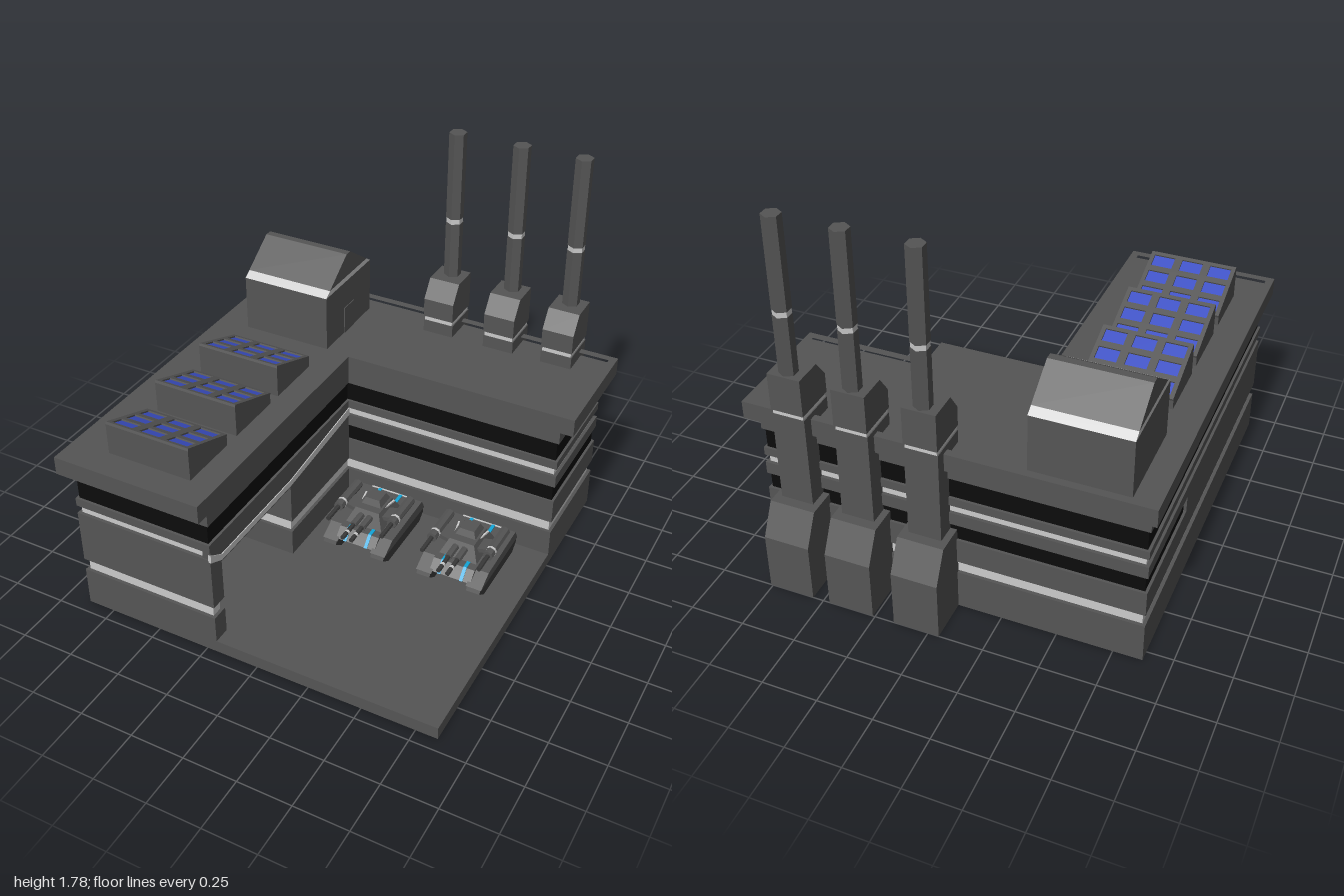
import * as THREE from 'three';

const mat = (color) => new THREE.MeshStandardMaterial({ color, flatShading: true });
const DARK = mat(0x555555), LIGHT = mat(0xbcbcbc), BLACK = mat(0x0c0c0c);
const TRACK = mat(0x3a3a3a), BLUE = mat(0x3b4fc4), CYAN = mat(0x12a5d8);

function add(parent, name, geometry, material = DARK, x = 0, y = 0, z = 0) {
  const m = new THREE.Mesh(geometry, material);
  m.name = name;
  m.position.set(x, y, z);
  parent.add(m);
  return m;
}

// box given by its limits
function block(parent, name, [x0, x1], [y0, y1], [z0, z1], material) {
  return add(parent, name, new THREE.BoxGeometry(x1 - x0, y1 - y0, z1 - z0), material,
    (x0 + x1) / 2, (y0 + y1) / 2, (z0 + z1) / 2);
}

const toShape = (pts) => new THREE.Shape(pts.map(([a, b]) => new THREE.Vector2(a, b)));

// side profile of [z, y] points, extruded from x0 to x1
function prism(parent, name, pts, x0, x1, material) {
  const g = new THREE.ExtrudeGeometry(toShape(pts), { depth: x1 - x0, bevelEnabled: false });
  g.rotateY(-Math.PI / 2).translate(x1, 0, 0);
  return add(parent, name, g, material);
}

// plan of [x, z] points, extruded from y0 to y1
function slab(parent, name, pts, y0, y1, material, hole) {
  const flip = (p) => p.map(([x, z]) => [x, -z]);
  const s = toShape(flip(pts));
  if (hole) s.holes.push(toShape(flip(hole)));
  const g = new THREE.ExtrudeGeometry(s, { depth: y1 - y0, bevelEnabled: false });
  g.rotateX(-Math.PI / 2).translate(0, y0, 0);
  return add(parent, name, g, material);
}

// L-shaped plan, shrunk by d, optionally with the garage bay cut into the wing
function ell(d, bay = false, [l, r, b, f] = [-0.88, 0.85, -0.8, 0.94]) {
  const ix = -0.2 - d, iz = -0.26 - d;
  const cut = bay ? [[ix, 0.29 - d], [-0.6 - d, 0.29 - d], [-0.6 - d, 0.86 + d], [ix, 0.86 + d]] : [];
  return [[l + d, b + d], [r - d, b + d], [r - d, iz], [ix, iz], ...cut, [ix, f - d], [l + d, f - d]];
}

function building() {
  const g = new THREE.Group();
  g.name = 'building';
  block(g, 'yardFloor', [-0.88, 0.85], [0, 0.06], [-0.8, 0.94], DARK);
  // stacked storeys: y0, y1, inset, material, bay
  const layers = [
    ['lowerWall', 0.06, 0.19, 0, DARK, true],
    ['lowerStripe', 0.19, 0.25, 0.015, LIGHT, true],
    ['middleWall', 0.25, 0.37, 0, DARK, true],
    ['bayWall', 0.37, 0.45, 0.02, DARK, true],
    ['lintelWall', 0.45, 0.51, 0, DARK, false],
    ['upperStripe', 0.51, 0.55, 0.015, LIGHT, false],
    ['upperWall', 0.55, 0.59, 0, DARK, false],
    ['upperWindows', 0.59, 0.69, 0.012, BLACK, false],
    ['topWall', 0.69, 0.75, 0, DARK, false],
  ];
  for (const [name, y0, y1, d, m, bay] of layers) slab(g, name, ell(d, bay), y0, y1, m);
  // lower windows run round the back block, the wing stays solid
  block(g, 'lowerWindows', [-0.868, 0.838], [0.37, 0.47], [-0.788, -0.268], BLACK);
  slab(g, 'wingWall', [[-0.88, -0.26], [-0.2, -0.26], [-0.2, 0.29], [-0.6, 0.29], [-0.6, 0.86],
    [-0.2, 0.86], [-0.2, 0.94], [-0.88, 0.94]], 0.37, 0.45, DARK);
  // wing facing the yard, with its stepped stripe
  block(g, 'yardWall', [-0.24, -0.2], [0.51, 0.55], [-0.26, 0.935], DARK);
  prism(g, 'steppedStripe', [[0.94, 0.54], [0.86, 0.49], [0.29, 0.49], [-0.26, 0.55],
    [-0.26, 0.51], [0.29, 0.46], [0.86, 0.46], [0.94, 0.5]], -0.21, -0.196, LIGHT);
  // overhanging roof with parapet
  const rim = [-0.91, 0.91, -0.83, 1];
  slab(g, 'roof', ell(0, false, rim), 0.75, 0.8, DARK);
  slab(g, 'parapet', ell(0, false, rim), 0.8, 0.835, DARK, ell(0.035, false, rim));
  return g;
}

// wedge with a 3 x 3 grid of recessed solar cells on its slope
function solarWedge(z) {
  const g = new THREE.Group();
  g.name = 'solarWedge';
  const len = 0.28, rise = 0.105, t = 0.012, w = 0.41;
  prism(g, 'wedge', [[0, 0.79], [len, 0.79], [len, 0.96 - t], [0, 0.96 - rise - t]], -w / 2, w / 2, DARK);
  const slope = new THREE.Group();
  slope.name = 'solarPanel';
  const L = Math.hypot(len, rise);
  const frame = toShape([[-w / 2, -L / 2], [w / 2, -L / 2], [w / 2, L / 2], [-w / 2, L / 2]]);
  for (let i = -1; i <= 1; i++) {
    for (let j = -1; j <= 1; j++) {
      const cx = i * 0.136, cy = j * 0.097, a = 0.05, b = 0.033;
      frame.holes.push(toShape([[cx - a, cy - b], [cx - a, cy + b], [cx + a, cy + b], [cx + a, cy - b]]));
      add(slope, 'solarCell', new THREE.BoxGeometry(0.1, 0.004, 0.066), BLUE, cx, 0.003, -cy);
    }
  }
  const fg = new THREE.ExtrudeGeometry(frame, { depth: t, bevelEnabled: false }).rotateX(-Math.PI / 2);
  add(slope, 'solarFrame', fg);
  slope.position.set(0, 0.96 - rise / 2 - t, len / 2);
  slope.rotation.x = -Math.atan2(rise, len);
  g.add(slope);
  g.position.set(-0.553, 0, z);
  return g;
}

function roofHouse() {
  const g = new THREE.Group();
  g.name = 'roofHouse';
  const f = -0.322, b = -0.757, x0 = -0.785, x1 = -0.348;
  prism(g, 'houseWalls', [[b, 0.79], [f, 0.79], [f, 1.07], [b, 1.07]], x0, x1, DARK);
  prism(g, 'eavesStripe', [[b, 1.07], [f, 1.07], [f - 0.036, 1.095], [b + 0.036, 1.095]], x0, x1, LIGHT);
  prism(g, 'gableRoof', [[b + 0.036, 1.095], [f - 0.036, 1.095], [-0.522, 1.21], [-0.557, 1.21]], x0, x1, DARK);
  block(g, 'door', [x1 - 0.01, x1 + 0.004], [0.79, 0.935], [-0.587, -0.493], DARK);
  return g;
}

function chimney(x) {
  const g = new THREE.Group();
  g.name = 'chimney';
  prism(g, 'buttress', [[-0.79, 0], [-1, 0], [-1, 0.275], [-0.925, 0.42], [-0.79, 0.42]], -0.105, 0.105, DARK);
  block(g, 'shaft', [-0.075, 0.075], [0.4, 0.86], [-0.88, -0.79], DARK);
  block(g, 'shaftFoot', [-0.075, 0.075], [0.79, 0.86], [-0.8, -0.692], DARK);
  block(g, 'collarStripe', [-0.07, 0.07], [0.86, 0.882], [-0.878, -0.695], LIGHT);
  prism(g, 'stackBase', [[-0.885, 0.882], [-0.69, 0.882], [-0.69, 0.975], [-0.75, 1.06], [-0.885, 1.06]],
    -0.075, 0.075, DARK);
  const hex = (name, y0, y1, r, m) =>
    add(g, name, new THREE.CylinderGeometry(r, r, y1 - y0, 6), m, 0, (y0 + y1) / 2, -0.838);
  hex('lowerStack', 1.05, 1.335, 0.041, DARK);
  hex('stackStripe', 1.335, 1.36, 0.039, LIGHT);
  hex('upperStack', 1.36, 1.78, 0.041, DARK);
  g.position.x = x;
  return g;
}

function tank(x) {
  const g = new THREE.Group();
  g.name = 'tank';
  // hull between two tracks
  prism(g, 'hull', [[-0.21, 0.085], [0.1, 0.085], [0.165, 0.125], [0.12, 0.168], [-0.2, 0.178], [-0.238, 0.15]],
    -0.1, 0.1, DARK);
  for (const s of [-1, 1]) {
    const side = (a, b) => (s > 0 ? [a, b] : [-b, -a]);
    prism(g, 'track', [[-0.2, 0.06], [0.13, 0.06], [0.185, 0.1], [0.17, 0.125], [-0.235, 0.125], [-0.24, 0.095]],
      ...side(0.09, 0.155), TRACK);
    prism(g, 'trackGuard', [[-0.24, 0.12], [0.18, 0.12], [0.1, 0.162], [-0.21, 0.172]], ...side(0.085, 0.16), DARK);
    // coloured stripes over nose and tail
    prism(g, 'noseStripe', [[0.1, 0.085], [0.168, 0.125], [0.12, 0.172], [0.08, 0.173]], ...side(0.046, 0.062), CYAN);
    prism(g, 'tailStripe', [[-0.13, 0.17], [-0.13, 0.18], [-0.2, 0.182], [-0.242, 0.15], [-0.22, 0.11]],
      ...side(0.046, 0.062), CYAN);
    // side gun pod and its arm
    const arm = block(g, 'podArm', side(0.06, 0.14), [0.205, 0.225], [-0.05, 0.03], DARK);
    arm.rotation.z = s * 0.25;
    const pod = (name, r, len, m, px, py, pz) =>
      add(g, name, new THREE.CylinderGeometry(r, r, len, 8).rotateX(Math.PI / 2), m, s * px, py, pz);
    pod('sidePod', 0.024, 0.2, DARK, 0.138, 0.23, -0.03);
    pod('sidePodBarrel', 0.011, 0.1, TRACK, 0.138, 0.23, 0.12);
    pod('sidePodRing', 0.025, 0.012, LIGHT, 0.138, 0.23, 0.03);
    pod('mainBarrel', 0.011, 0.18, TRACK, 0.022, 0.215, 0.155);
    pod('barrelSleeve', 0.017, 0.08, DARK, 0.022, 0.215, 0.1);
    pod('barrelRing', 0.012, 0.014, LIGHT, 0.022, 0.215, 0.2);
    // pale turret edge
    const edge = block(g, 'turretEdge', side(0.056, 0.064), [0.228, 0.236], [-0.09, 0.04], LIGHT);
    edge.rotation.y = -s * 0.2;
  }
  block(g, 'tailTrim', [-0.1, 0.1], [0.172, 0.181], [-0.205, -0.198], LIGHT);
  // tapered turret with a raised hatch
  const taper = (name, r0, r1, h, y, z, sz) => {
    const m = add(g, name, new THREE.CylinderGeometry(r1, r0, h, 4).rotateY(Math.PI / 4), DARK, 0, y, z);
    m.scale.z = sz;
  };
  taper('turret', 0.13, 0.085, 0.07, 0.205, -0.025, 1.15);
  taper('hatch', 0.07, 0.05, 0.03, 0.255, -0.045, 1);
  g.position.x = x;
  return g;
}

export function createModel() {
  const model = new THREE.Group();
  model.name = 'factory';
  model.add(building(), roofHouse());
  for (const z of [-0.15, 0.195, 0.55]) model.add(solarWedge(z));
  for (const x of [0.055, 0.365, 0.655]) model.add(chimney(x));
  for (const x of [0.06, 0.54]) model.add(tank(x));
  return model;
}
